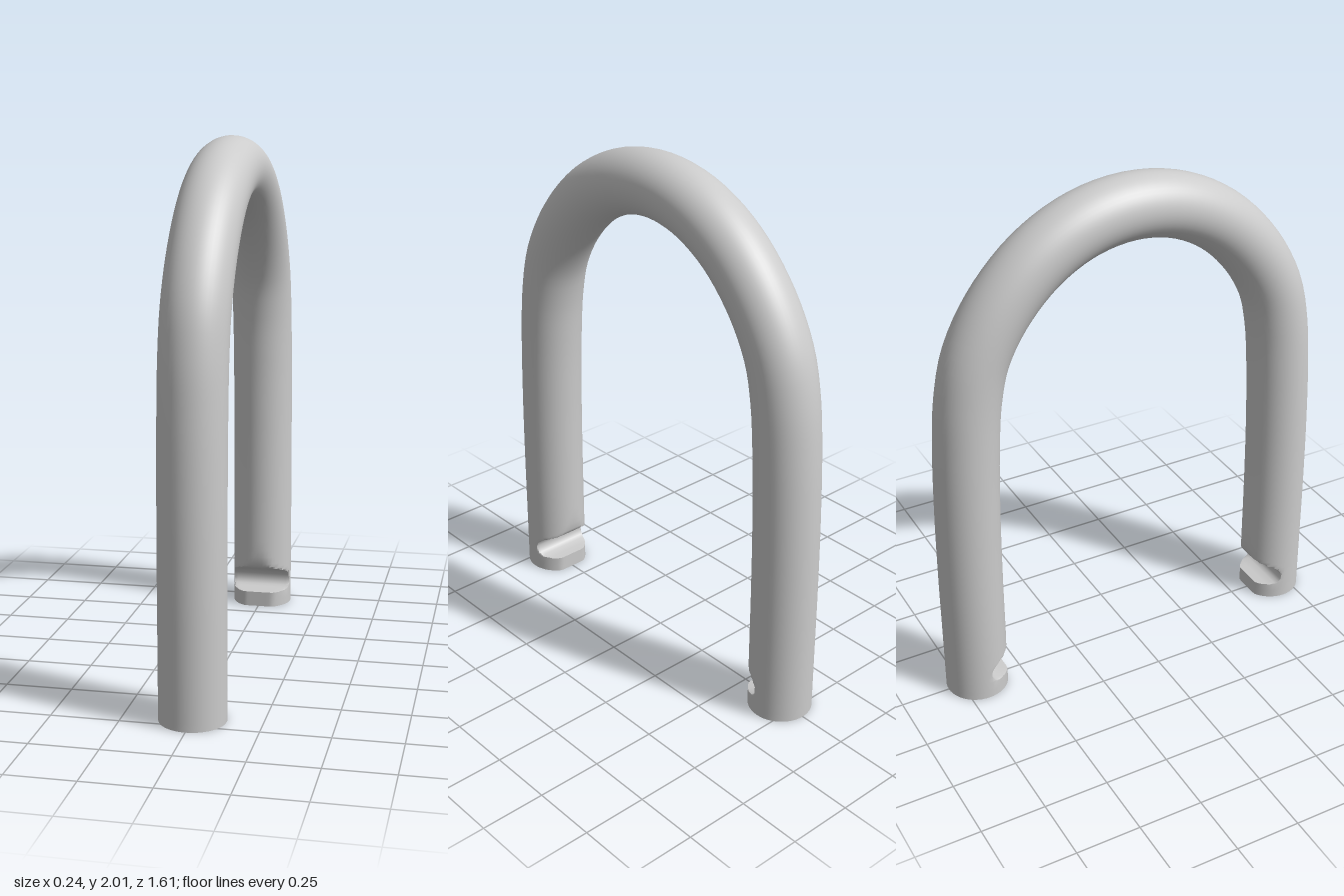
import * as THREE from 'three';
import { toCreasedNormals } from 'three/addons/utils/BufferGeometryUtils.js';

const SIDES = 48, RADIUS = 0.122, LEG_Z = 0.684;

// Notch near each foot: [height, innermost |z| that is left standing]
const NOTCH = [
  [0, 0.577], [0.03, 0.577], [0.062, 0.577], [0.064, 0.61], [0.068, 0.643], [0.076, 0.657],
  [0.088, 0.665], [0.105, 0.668], [0.12, 0.664], [0.134, 0.654], [0.146, 0.635], [0.156, 0.61],
  [0.166, 0.588], [0.176, 0.574], [0.19, 0.569], [0.22, 0.565], [0.25, 0.56],
];

// Centre line of the bow from the front leg to the top; the back half mirrors it
const HALF = [
  [0.25, LEG_Z], [0.5, 0.684], [0.8, 0.68], [1.08, 0.669], [1.28, 0.65], [1.44, 0.611],
  [1.61, 0.514], [1.76, 0.365], [1.852, 0.19],
];

function makeStations() {
  const foot = NOTCH.map(([y, clip]) => ({ y, z: LEG_Z, ty: 1, tz: 0, clip }));
  const points = [...HALF, [1.883, 0], ...HALF.map(([y, z]) => [y, -z]).reverse()]
    .map(([y, z]) => new THREE.Vector3(0, y, z));
  const curve = new THREE.CatmullRomCurve3(points);
  const bow = [];
  const steps = 90;
  for (let i = 1; i < steps; i++) {
    const p = curve.getPointAt(i / steps), t = curve.getTangentAt(i / steps);
    bow.push({ y: p.y, z: p.z, ty: t.y, tz: t.z, clip: 0 });
  }
  const backFoot = foot.map((s) => ({ ...s, z: -s.z, ty: -1 })).reverse();
  return [...foot, ...bow, ...backFoot];
}

// Round section swept along the stations, cut flat where the notch reaches in
function sweep(stations) {
  const pos = [], index = [];
  for (const s of stations) {
    for (let j = 0; j < SIDES; j++) {
      const a = (j / SIDES) * Math.PI * 2;
      const out = Math.cos(a) * RADIUS;
      const y = s.y - out * s.tz;
      let z = s.z + out * s.ty;
      if (s.clip) z = Math.sign(s.z) * Math.max(Math.abs(z), s.clip);
      pos.push(Math.sin(a) * RADIUS, y, z);
    }
  }
  const last = stations.length - 1;
  for (let i = 0; i < last; i++) {
    for (let j = 0; j < SIDES; j++) {
      const k = (j + 1) % SIDES;
      const a = i * SIDES + j, b = i * SIDES + k;
      index.push(a, b, b + SIDES, a, b + SIDES, a + SIDES);
    }
  }
  // Flat soles
  const c = pos.length / 3;
  pos.push(0, 0, LEG_Z, 0, 0, -LEG_Z);
  for (let j = 0; j < SIDES; j++) {
    const k = (j + 1) % SIDES;
    index.push(c, k, j, c + 1, last * SIDES + j, last * SIDES + k);
  }
  const g = new THREE.BufferGeometry();
  g.setAttribute('position', new THREE.Float32BufferAttribute(pos, 3));
  g.setIndex(index);
  return toCreasedNormals(g, 0.8);
}

export function createModel() {
  const group = new THREE.Group();
  group.name = 'shackle';
  const bar = new THREE.Mesh(
    sweep(makeStations()),
    new THREE.MeshStandardMaterial({ color: 0xcccccc })
  );
  bar.name = 'notchedBow';
  group.add(bar);
  return group;
}
